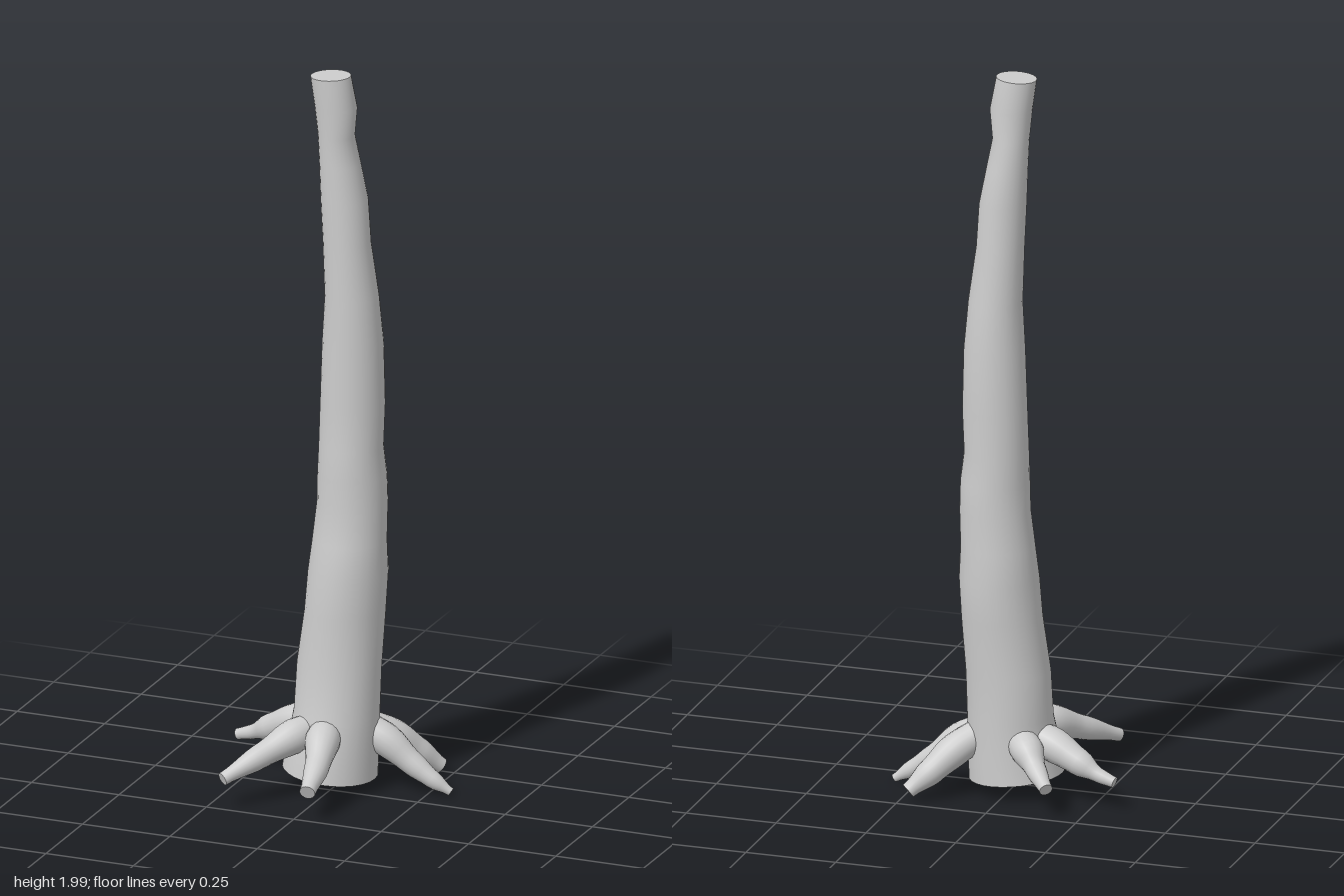
import * as THREE from 'three';

const SIDES = 28;

// Skin a list of rings (arrays of Vector3, ordered start to end) and close both ends with flat caps
function loft(rings, material, name) {
  const pos = [], index = [];
  const n = rings[0].length;
  rings.forEach(r => r.forEach(p => pos.push(p.x, p.y, p.z)));
  for (let i = 0; i < rings.length - 1; i++) {
    for (let j = 0; j < n; j++) {
      const k = (j + 1) % n;
      const a = i * n + j, b = i * n + k, c = a + n, d = b + n;
      index.push(a, c, b, b, c, d);
    }
  }
  // caps have their own vertices so the rims stay sharp
  for (const [ring, end] of [[rings[0], false], [rings[rings.length - 1], true]]) {
    const base = pos.length / 3;
    const mid = ring.reduce((s, p) => s.add(p), new THREE.Vector3()).divideScalar(n);
    ring.forEach(p => pos.push(p.x, p.y, p.z));
    pos.push(mid.x, mid.y, mid.z);
    for (let j = 0; j < n; j++) {
      const a = base + j, b = base + (j + 1) % n;
      if (end) index.push(base + n, b, a); else index.push(base + n, a, b);
    }
  }
  const g = new THREE.BufferGeometry();
  g.setAttribute('position', new THREE.Float32BufferAttribute(pos, 3));
  g.setIndex(index);
  g.computeVertexNormals();
  const mesh = new THREE.Mesh(g, material);
  mesh.name = name;
  return mesh;
}

// Trunk outline: height, left x, right x, back z, front z
const TRUNK = [
  [0.055, -0.142, 0.112, -0.165, 0.092],
  [0.12, -0.13, 0.113, -0.162, 0.084],
  [0.22, -0.116, 0.115, -0.16, 0.064],
  [0.35, -0.113, 0.117, -0.162, 0.046],
  [0.5, -0.09, 0.125, -0.168, 0.044],
  [0.61, -0.083, 0.131, -0.175, 0.042],
  [0.7, -0.073, 0.128, -0.166, 0.03],
  [0.8, -0.062, 0.127, -0.166, 0.016],
  [0.88, -0.058, 0.127, -0.16, 0.022],
  [0.96, -0.058, 0.117, -0.158, 0.012],
  [1.08, -0.053, 0.121, -0.157, 0.01],
  [1.25, -0.046, 0.117, -0.151, 0.008],
  [1.38, -0.038, 0.108, -0.138, 0.007],
  [1.53, -0.041, 0.088, -0.124, 0.006],
  [1.65, -0.046, 0.08, -0.119, 0.004],
  [1.75, -0.049, 0.062, -0.109, 0.003],
  [1.83, -0.052, 0.047, -0.1, 0.002],
  [1.91, -0.058, 0.056, -0.094, 0.008],
  [1.997, -0.069, 0.04, -0.087, 0.01]
];

function makeTrunk(material) {
  const rings = TRUNK.map(([y, xl, xr, zb, zf], i) => {
    const tilt = Math.max(0, 1 - i / 3) * 0.1; // the foot is cut at a slant
    const topTilt = i === TRUNK.length - 1 ? 0.05 : 0;
    const cx = (xl + xr) / 2, cz = (zb + zf) / 2, rx = (xr - xl) / 2, rz = (zf - zb) / 2;
    return Array.from({ length: SIDES }, (_, j) => {
      const a = j / SIDES * Math.PI * 2;
      const dx = rx * Math.cos(a), dz = -rz * Math.sin(a);
      // slight lumps on the diagonals
      const w = 1 + 0.015 * Math.sin(2 * a) * Math.sin(i * 1.9);
      return new THREE.Vector3(cx + dx * w, y - dx * tilt + dx * topTilt, cz + dz * w);
    });
  });
  // this ring order runs counter-clockwise from above, so flip it for outward faces
  return loft(rings.map(r => r.slice().reverse()), material, 'trunk');
}

// Roots: name, path points, radius at each path point
const ROOTS = [
  ['frontRoot', [[0.0, 0.185, 0.02], [0.01, 0.173, 0.075], [0.029, 0.13, 0.16], [0.04, 0.09, 0.253]],
    [0.04, 0.047, 0.033, 0.021]],
  ['frontRightRoot', [[-0.045, 0.185, 0.02], [-0.078, 0.17, 0.067], [-0.135, 0.135, 0.145], [-0.207, 0.09, 0.242]],
    [0.04, 0.046, 0.033, 0.018]],
  ['rightRoot', [[-0.06, 0.18, -0.065], [-0.13, 0.16, -0.08], [-0.21, 0.125, -0.1], [-0.265, 0.1, -0.11], [-0.313, 0.085, -0.115]],
    [0.042, 0.046, 0.036, 0.02, 0.015]],
  ['backRightRoot', [[-0.03, 0.18, -0.09], [-0.08, 0.16, -0.147], [-0.12, 0.125, -0.193], [-0.167, 0.092, -0.248]],
    [0.04, 0.044, 0.028, 0.018]],
  ['backLeftRoot', [[0.06, 0.18, -0.08], [0.125, 0.135, -0.135], [0.175, 0.085, -0.18], [0.227, 0.036, -0.219]],
    [0.04, 0.044, 0.036, 0.021]],
  ['leftRoot', [[0.06, 0.18, -0.065], [0.13, 0.145, -0.07], [0.2, 0.09, -0.075], [0.26, 0.05, -0.076], [0.311, 0.018, -0.083]],
    [0.042, 0.044, 0.033, 0.024, 0.011]]
];

function makeRoot([name, points, radii], material) {
  const curve = new THREE.CatmullRomCurve3(points.map(p => new THREE.Vector3(...p)));
  const steps = 16, up = new THREE.Vector3(0, 1, 0), rings = [];
  for (let i = 0; i <= steps; i++) {
    const t = i / steps, s = t * (radii.length - 1);
    const k = Math.min(Math.floor(s), radii.length - 2);
    const r = THREE.MathUtils.lerp(radii[k], radii[k + 1], THREE.MathUtils.smoothstep(s - k, 0, 1));
    const c = curve.getPoint(t), dir = curve.getTangent(t);
    const side = new THREE.Vector3().crossVectors(dir, up).normalize();
    const top = new THREE.Vector3().crossVectors(side, dir);
    rings.push(Array.from({ length: 18 }, (_, j) => {
      const a = -j / 18 * Math.PI * 2;
      return c.clone().addScaledVector(side, r * Math.cos(a)).addScaledVector(top, r * Math.sin(a));
    }));
  }
  return loft(rings, material, name);
}

export function createModel() {
  const bark = new THREE.MeshStandardMaterial({ color: 0xcccccc });
  bark.name = 'pale grey bark';
  bark.side = THREE.DoubleSide;
  const group = new THREE.Group();
  group.name = 'treeTrunk';
  group.add(makeTrunk(bark));
  ROOTS.forEach(root => group.add(makeRoot(root, bark)));
  return group;
}
